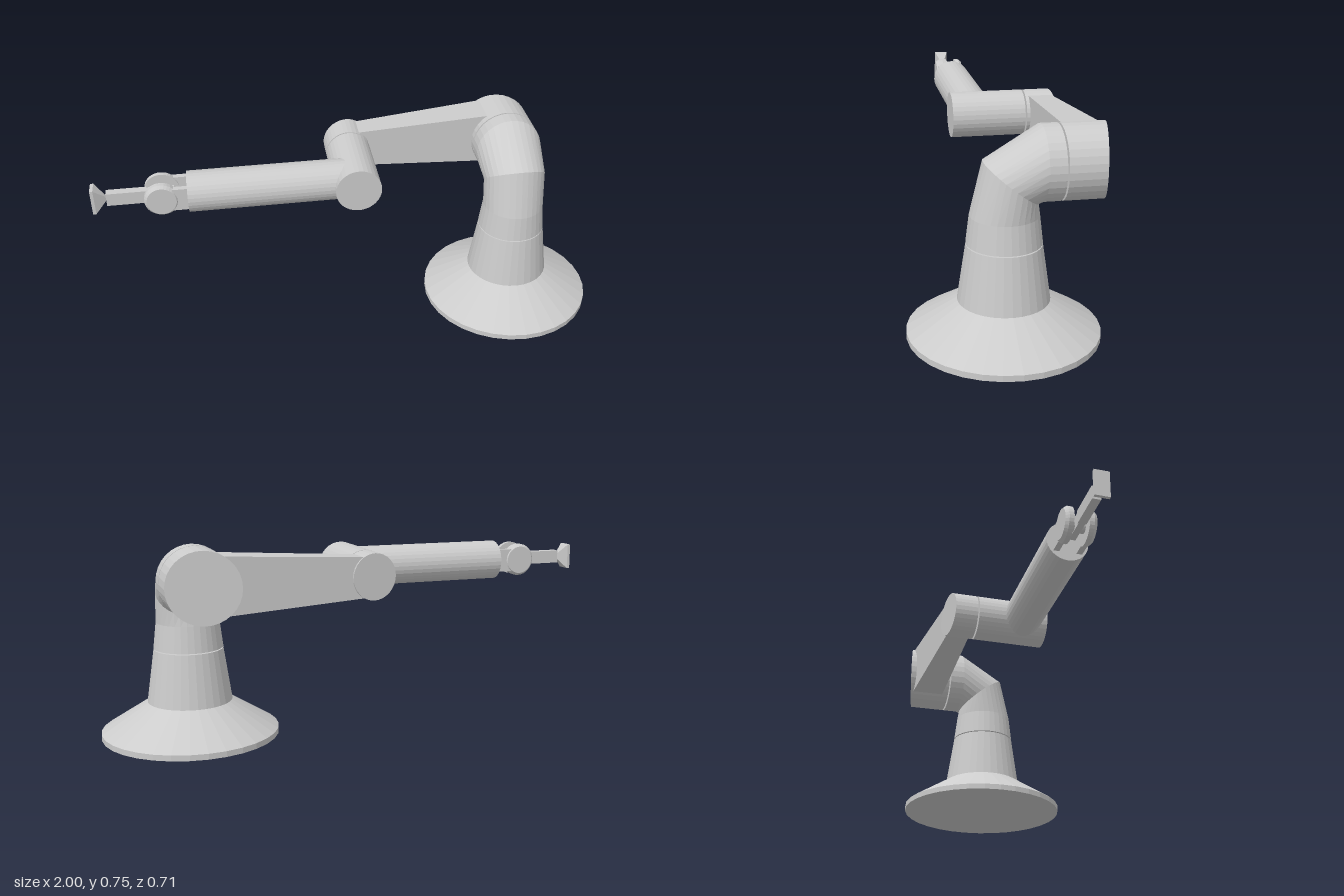
import * as THREE from 'three';

const SIDES = 32;
const material = new THREE.MeshStandardMaterial({ color: 0xcccccc, flatShading: true });

function add(parent, name, geometry, x = 0, y = 0, z = 0) {
  const mesh = new THREE.Mesh(geometry, material);
  mesh.name = name;
  mesh.position.set(x, y, z);
  parent.add(mesh);
  return mesh;
}

// Move every vertex of a geometry by a rule
function reshape(geometry, rule) {
  const p = geometry.attributes.position;
  const v = new THREE.Vector3();
  for (let i = 0; i < p.count; i++) {
    rule(v.fromBufferAttribute(p, i));
    p.setXYZ(i, v.x, v.y, v.z);
  }
  geometry.computeVertexNormals();
  return geometry;
}

// Cylinder along z between two depths
function rodZ(r, zBack, zFront) {
  return new THREE.CylinderGeometry(r, r, zFront - zBack, SIDES)
    .rotateX(Math.PI / 2).translate(0, 0, (zFront + zBack) / 2);
}

// Joint cap along z whose rear face is slanted across x
function slantedCap(r, zBack, zFront, slope) {
  const mid = (zBack + zFront) / 2;
  return reshape(rodZ(r, zBack, zFront), v => { if (v.z < mid) v.z += slope * v.x; });
}

// Capped tube through rings: centre (z, y), radius in x, second half axis (dz, dy)
function loft(rings) {
  const pos = [];
  const point = (r, j) => {
    const a = j / SIDES * Math.PI * 2, s = Math.sin(a);
    return [r.rx * Math.cos(a), r.y + r.dy * s, r.z + r.dz * s];
  };
  const first = rings[0], last = rings[rings.length - 1];
  for (let j = 0; j < SIDES; j++) {
    for (let i = 0; i < rings.length - 1; i++) {
      const a = point(rings[i], j), b = point(rings[i], j + 1);
      const c = point(rings[i + 1], j), d = point(rings[i + 1], j + 1);
      pos.push(...a, ...c, ...b, ...b, ...c, ...d);
    }
    pos.push(0, first.y, first.z, ...point(first, j), ...point(first, j + 1));
    pos.push(0, last.y, last.z, ...point(last, j + 1), ...point(last, j));
  }
  const g = new THREE.BufferGeometry();
  g.setAttribute('position', new THREE.Float32BufferAttribute(pos, 3));
  g.computeVertexNormals();
  return g;
}

export function createModel() {
  const model = new THREE.Group();
  model.name = 'robotArm';
  const baseX = 0.657, baseZ = 0.0145, elbowX = 0.007, armY = 0.625, armZ = 0.007;

  // Flared foot and tapered pedestal
  const profile = [[0, 0], [0.342, 0], [0.342, 0.022], [0.163, 0.135], [0.133, 0.34], [0, 0.34]];
  add(model, 'base', new THREE.LatheGeometry(profile.map(p => new THREE.Vector2(...p)), SIDES),
    baseX, 0, baseZ);

  // Swivelling neck, bending back to the shoulder
  add(model, 'neck', loft([
    { z: baseZ, y: 0.344, rx: 0.133, dz: 0.133, dy: 0 },
    { z: baseZ, y: 0.445, rx: 0.121, dz: 0.121, dy: 0 },
    { z: -0.005, y: 0.56, rx: 0.122, dz: 0.095, dy: 0.075 },
    { z: -0.108, y: 0.622, rx: 0.133, dz: 0, dy: 0.133 },
    { z: -0.168, y: 0.622, rx: 0.133, dz: 0, dy: 0.133 },
  ]), baseX);

  // Upper arm: shoulder cap, tapered link, elbow cap
  const upperArm = new THREE.Group();
  upperArm.name = 'upperArm';
  model.add(upperArm);
  add(upperArm, 'shoulderCap', slantedCap(0.133, -0.33, -0.174, 0.19), baseX, 0.622);
  add(upperArm, 'link', reshape(new THREE.BoxGeometry(1, 1, 1), v => {
    const wide = v.x > 0;
    v.x = wide ? 0.6 : 0.02;
    v.y = v.y > 0 ? (wide ? 0.733 : 0.699) : (wide ? 0.518 : 0.548);
    v.z = v.z > 0 ? -0.2 : (wide ? -0.336 : -0.289);
  }));
  add(upperArm, 'elbowCap', slantedCap(0.089, -0.292, -0.187, -0.15), elbowX, armY);

  // Forearm with its elbow barrel
  const forearm = new THREE.Group();
  forearm.name = 'forearm';
  model.add(forearm);
  add(forearm, 'elbowBarrel', rodZ(0.089, -0.181, 0.105), elbowX, armY);
  add(forearm, 'forearmTube',
    new THREE.CylinderGeometry(0.079, 0.079, 0.645, SIDES).rotateZ(Math.PI / 2),
    -0.3175, armY, armZ);

  // Wrist fork: two prongs ending in bevelled discs
  const wristX = -0.738;
  const disc = [[0, 0], [0.066, 0], [0.066, 0.018], [0.056, 0.03], [0, 0.03]]
    .map(p => new THREE.Vector2(...p));
  for (const side of [1, -1]) {
    add(forearm, 'forkProng', new THREE.BoxGeometry(0.11, 0.092, 0.022),
      -0.685, armY, armZ + side * 0.043);
    add(forearm, 'forkDisc', new THREE.LatheGeometry(disc, SIDES).rotateX(side * Math.PI / 2),
      wristX, armY, armZ + side * 0.028);
  }

  // Tool: axle, hinge tongue, bar and flared tip
  const tool = new THREE.Group();
  tool.name = 'tool';
  tool.position.set(0, armY, armZ);
  model.add(tool);
  add(tool, 'axle', rodZ(0.022, -0.03, 0.03), wristX);
  add(tool, 'tongue', new THREE.BoxGeometry(0.12, 0.05, 0.024), -0.75);
  add(tool, 'bar', new THREE.BoxGeometry(0.15, 0.052, 0.032), -0.87);
  add(tool, 'tipPlate', new THREE.BoxGeometry(0.012, 0.102, 0.056), -0.994);
  add(tool, 'tipFlare', reshape(new THREE.BoxGeometry(0.045, 0.102, 0.056), v => {
    if (v.x > 0) { v.y *= 0.1; v.z *= 0.1; }
  }), -0.9655);

  return model;
}
